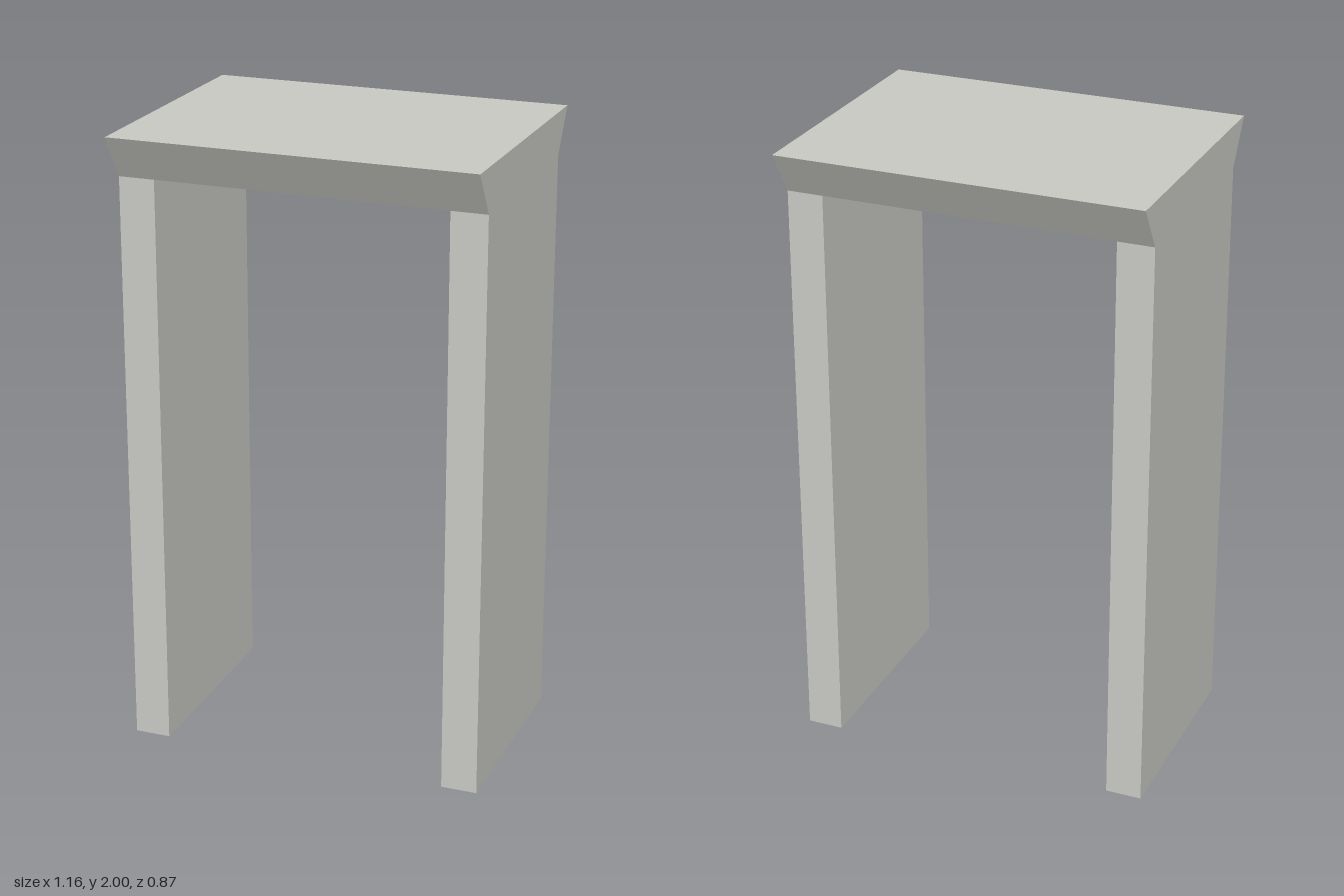
import * as THREE from 'three';

export function createModel() {
  const group = new THREE.Group();
  const stone = new THREE.MeshStandardMaterial({ color: 0xc8c8c3 });
  stone.name = 'pale stone';

  const halfWidth = 0.58, legWidth = 0.115, legHeight = 1.86;
  const legHalfDepth = 0.347, topHalfDepth = 0.434;

  // Two upright slabs, mirrored
  for (const side of [-1, 1]) {
    const leg = new THREE.Mesh(new THREE.BoxGeometry(legWidth, legHeight, legHalfDepth * 2), stone);
    leg.name = side > 0 ? 'leftUpright' : 'rightUpright';
    leg.position.set(side * (halfWidth - legWidth / 2), legHeight / 2, 0);
    group.add(leg);
  }

  // Top slab, flaring out towards front and back
  const profile = new THREE.Shape([
    new THREE.Vector2(-legHalfDepth, legHeight),
    new THREE.Vector2(legHalfDepth, legHeight),
    new THREE.Vector2(topHalfDepth, 2),
    new THREE.Vector2(-topHalfDepth, 2),
  ]);
  const slab = new THREE.ExtrudeGeometry(profile, { depth: halfWidth * 2, bevelEnabled: false });
  slab.translate(0, 0, -halfWidth).rotateY(Math.PI / 2);
  const top = new THREE.Mesh(slab, stone);
  top.name = 'topSlab';
  group.add(top);

  return group;
}
